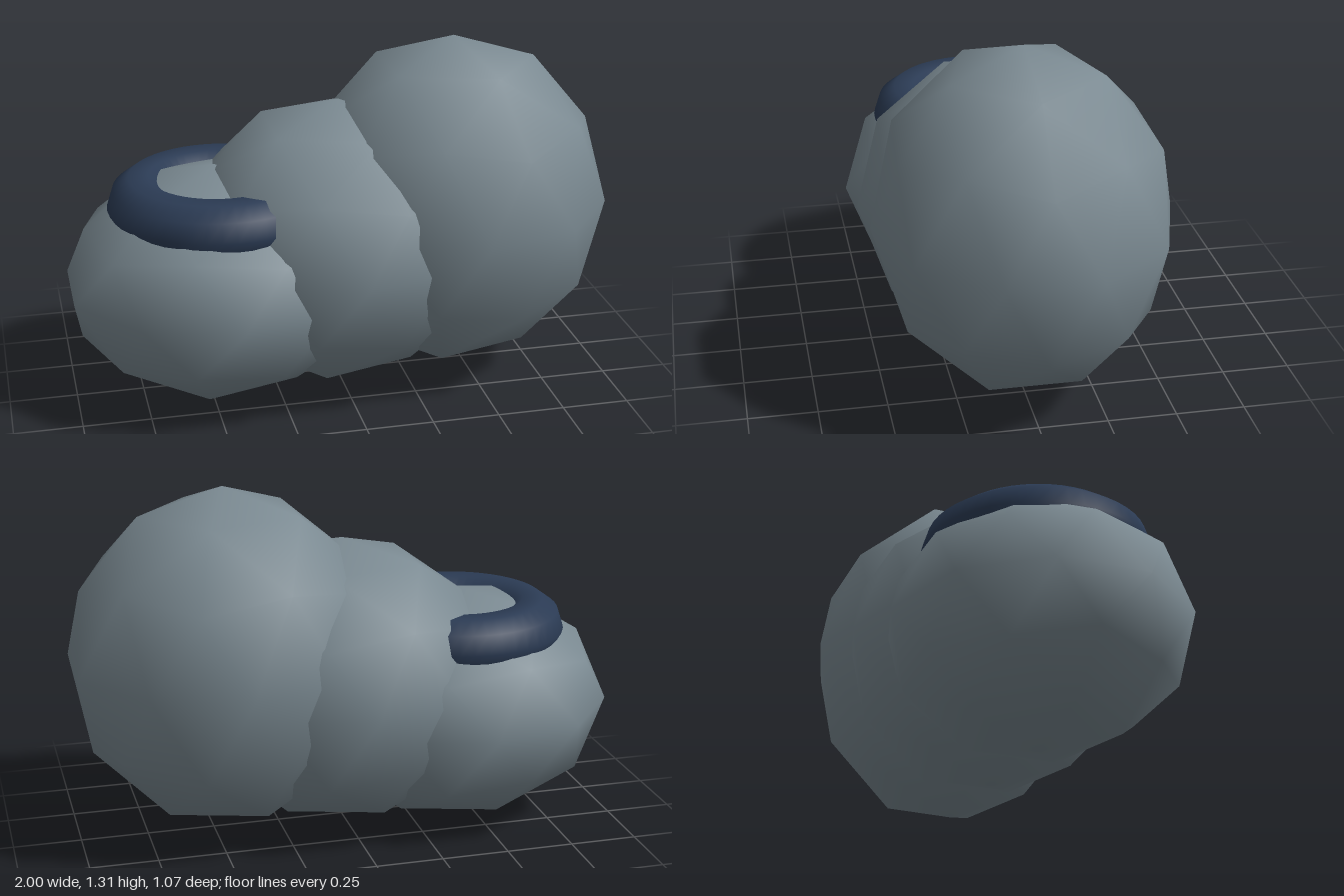
import * as THREE from 'three';

// Once-subdivided icosahedron with its poles on the y axis, smooth normals
function createIcoSphere() {
  const points = [0, 1, 0];
  const h = 1 / Math.sqrt(5);
  for (const row of [0, 1]) {
    for (let k = 0; k < 5; k++) {
      const a = (k + row / 2) * Math.PI * 0.4;
      points.push(2 * h * Math.cos(a), row ? -h : h, 2 * h * Math.sin(a));
    }
  }
  points.push(0, -1, 0);
  const faces = [];
  for (let k = 0; k < 5; k++) {
    const n = (k + 1) % 5;
    const u = 1 + k, un = 1 + n, l = 6 + k, ln = 6 + n;
    faces.push(0, un, u, un, l, u, un, ln, l, 11, l, ln);
  }
  return new THREE.PolyhedronGeometry(points, faces, 1, 1);
}

export function createModel() {
  const model = new THREE.Group();
  model.name = 'steppedBoulders';
  const stone = new THREE.MeshStandardMaterial({ color: 0x7b8a92 });
  const navy = new THREE.MeshStandardMaterial({ color: 0x2b3b54 });

  // Three overlapping ellipsoids, rising toward +x
  const sphere = createIcoSphere();
  const bodies = [
    ['lowBody', -0.44, 0.443, 0.44],
    ['middleBody', 0, 0.562, 0.537],
    ['tallBody', 0.44, 0.68, 0.635],
  ];
  for (const [name, x, y, height] of bodies) {
    const body = new THREE.Mesh(sphere, stone);
    body.name = name;
    body.position.set(x, y, 0);
    body.scale.set(0.589, height, 0.537);
    model.add(body);
  }

  // Ring lying on the low body, partly sunk into its neighbours
  const ring = new THREE.Mesh(new THREE.TorusGeometry(0.294, 0.118, 10, 48).rotateX(Math.PI / 2), navy);
  ring.name = 'ring';
  ring.position.set(-0.44, 0.734, 0);
  model.add(ring);

  return model;
}
